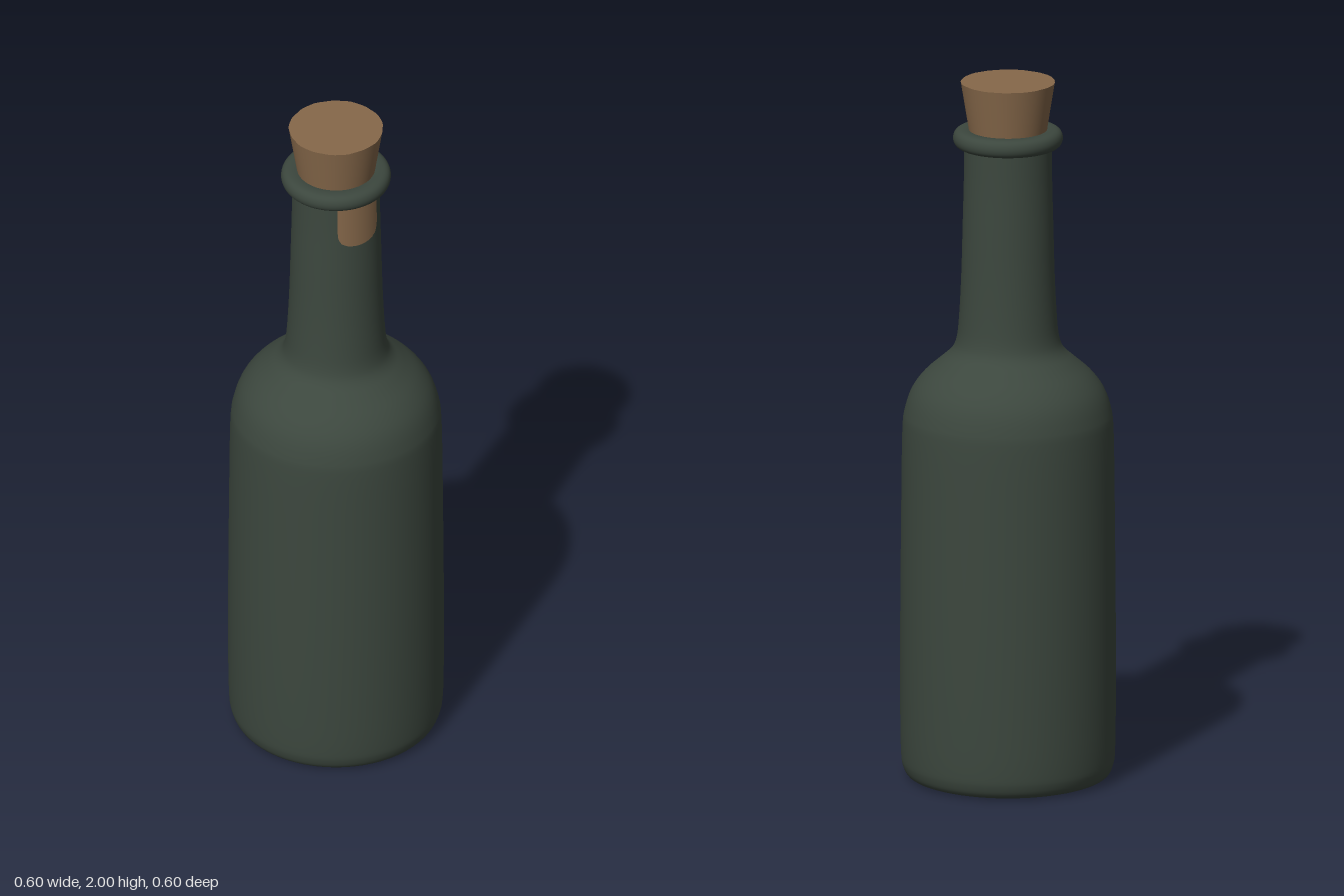
import * as THREE from 'three';

const SEGMENTS = 64;

export function createModel() {
  const glass = new THREE.MeshStandardMaterial({ color: 0x3c473e });
  glass.name = 'dark green glass';
  const corkBrown = new THREE.MeshStandardMaterial({ color: 0x86684a });
  corkBrown.name = 'cork brown';

  const bottle = new THREE.Group();
  bottle.name = 'corkedBottle';
  const add = (name, geometry, material) => {
    const mesh = new THREE.Mesh(geometry, material);
    mesh.name = name;
    bottle.add(mesh);
    return mesh;
  };
  const vectors = (pairs) => pairs.map(([r, y]) => new THREE.Vector2(r, y));
  const lathe = (points) => new THREE.LatheGeometry(points, SEGMENTS);

  // Body, shoulder and neck: one smooth turned profile
  const profile = new THREE.SplineCurve(vectors([
    [0.255, 0.005], [0.28, 0.015], [0.293, 0.04], [0.298, 0.08], [0.3, 0.2],
    [0.3, 0.45], [0.297, 0.8], [0.294, 1.0], [0.287, 1.06], [0.268, 1.115],
    [0.235, 1.16], [0.19, 1.2], [0.158, 1.23], [0.143, 1.265], [0.136, 1.33],
    [0.13, 1.45], [0.126, 1.6], [0.123, 1.72], [0.122, 1.83],
  ]));
  add('glassBody', lathe(profile.getPoints(72)), glass);

  // Flat underside
  const base = add('base', new THREE.CircleGeometry(0.256, SEGMENTS), glass);
  base.rotation.x = Math.PI / 2;
  base.position.y = 0.005;

  // Rounded lip, closed across the mouth around the cork
  const lip = new THREE.SplineCurve(vectors([
    [0.12, 1.813], [0.138, 1.815], [0.149, 1.824], [0.153, 1.839],
    [0.149, 1.854], [0.138, 1.863], [0.12, 1.865], [0.1, 1.862],
  ]));
  add('lip', lathe(lip.getPoints(28)), glass);

  // Tapered cork stopper, with a slightly uneven cut rim
  const cork = new THREE.CylinderGeometry(0.131, 0.107, 0.15, SEGMENTS, 1);
  const cp = cork.attributes.position;
  for (let i = 0; i < cp.count; i++) {
    const x = cp.getX(i), z = cp.getZ(i);
    if (cp.getY(i) < 0 || Math.hypot(x, z) < 0.01) continue;
    const a = Math.atan2(z, x);
    const wobble = 1 + 0.006 * Math.sin(7 * a) + 0.005 * Math.sin(17 * a + 1);
    cp.setX(i, x * wobble);
    cp.setZ(i, z * wobble);
  }
  add('cork', cork, corkBrown).position.y = 1.925;

  // Thin label patch wrapped on the front of the neck, rounded at the bottom
  const patch = new THREE.PlaneGeometry(2, 1, 16, 16);
  const pp = patch.attributes.position;
  for (let i = 0; i < pp.count; i++) {
    const t = pp.getY(i) + 0.5;
    const corner = Math.max(0, 1 - t / 0.35);
    const halfWidth = 0.065 - 0.024 * (1 - Math.sqrt(1 - corner * corner));
    const x = 0.001 + pp.getX(i) * halfWidth;
    const sag = 0.006 * corner * pp.getX(i) ** 2;
    const radius = 0.1265 - 0.0015 * t;
    pp.setXYZ(i, x, 1.677 + 0.138 * t + sag, Math.sqrt(radius * radius - x * x));
  }
  patch.computeVertexNormals();
  add('neckPatch', patch, corkBrown);

  return bottle;
}
